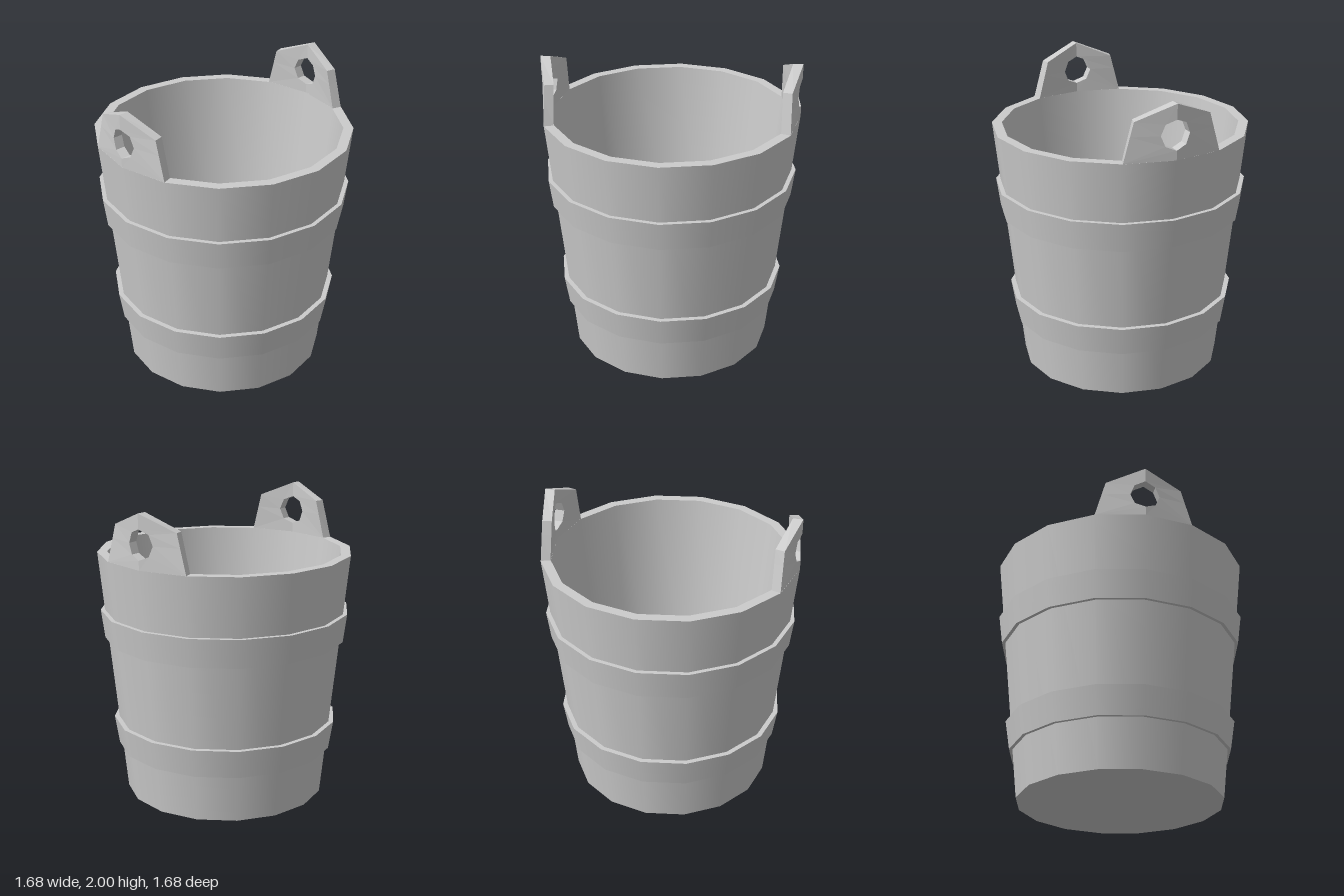
import * as THREE from 'three';
import { mergeGeometries } from 'three/addons/utils/BufferGeometryUtils.js';

const SIDES = 16;
const RIM_Y = 1.65;

// Lathe each profile segment separately: smooth around, sharp between segments
function turned(name, points, material) {
  const v = points.map(([r, y]) => new THREE.Vector2(r, y));
  const parts = [];
  for (let i = 0; i < v.length - 1; i++) parts.push(new THREE.LatheGeometry([v[i], v[i + 1]], SIDES));
  const mesh = new THREE.Mesh(mergeGeometries(parts), material);
  mesh.name = name;
  return mesh;
}

// Upright lug bent along the wall, with an octagonal handle hole
function lugGeometry() {
  const edge = y => 0.32 - 0.07 * (y - RIM_Y) / 0.25;
  const half = [[0, 2], [0.25, 1.9], [edge(1.81), 1.81], [0.32, RIM_Y], [0, RIM_Y]];
  const outline = [...half, ...half.slice(1, 4).reverse().map(([z, y]) => [-z, y])];
  const hole = outline.map((_, k) => {
    const a = k * Math.PI / 4;
    return [0.096 * Math.sin(a), 1.807 + 0.096 * Math.cos(a)];
  });
  const bend = (ring, x, drop, zScale) =>
    ring.map(([z, y]) => [x - drop * Math.abs(z) / edge(y), y, z * zScale]);
  const outer = bend(outline, 0.84, 0.065, 1);
  const inner = bend(outline, 0.775, 0.059, 0.94);
  const holeOuter = bend(hole, 0.84, 0.065, 1);
  const holeInner = bend(hole, 0.775, 0.059, 1);

  const positions = [];
  const quad = (a, b, c, d) => positions.push(...a, ...b, ...c, ...a, ...c, ...d);
  for (let k = 0; k < 8; k++) {
    const n = (k + 1) % 8;
    quad(outer[k], outer[n], holeOuter[n], holeOuter[k]); // outside face
    quad(inner[n], inner[k], holeInner[k], holeInner[n]); // inside face
    quad(holeOuter[k], holeOuter[n], holeInner[n], holeInner[k]); // hole wall
    if (k !== 3 && k !== 4) quad(inner[k], inner[n], outer[n], outer[k]); // edge, open at the rim
  }
  const geometry = new THREE.BufferGeometry();
  geometry.setAttribute('position', new THREE.Float32BufferAttribute(positions, 3));
  geometry.computeVertexNormals();
  return geometry;
}

export function createModel() {
  const group = new THREE.Group();
  group.name = 'bucket';
  const material = new THREE.MeshStandardMaterial({ color: 0xcccccc });

  // Bottom, outer wall, rim, inner wall and floor
  group.add(turned('bucketBody', [
    [0, 0], [0.67, 0], [0.84, RIM_Y], [0.775, RIM_Y], [0.615, 0.08], [0, 0.08],
  ], material));

  // Two hoops, sunk slightly into the wall
  const hoops = [
    ['lowerHoop', 0.32, 0.51, 0.725, 0.755],
    ['upperHoop', 1.07, 1.26, 0.803, 0.828],
  ];
  for (const [name, y0, y1, r0, r1] of hoops) {
    group.add(turned(name, [[r0 - 0.04, y0], [r0, y0], [r1, y1], [r1 - 0.05, y1]], material));
  }

  // Handle lugs on both sides
  const lug = lugGeometry();
  ['leftLug', 'rightLug'].forEach((name, i) => {
    const mesh = new THREE.Mesh(lug, material);
    mesh.name = name;
    mesh.rotation.y = i * Math.PI;
    group.add(mesh);
  });
  return group;
}
